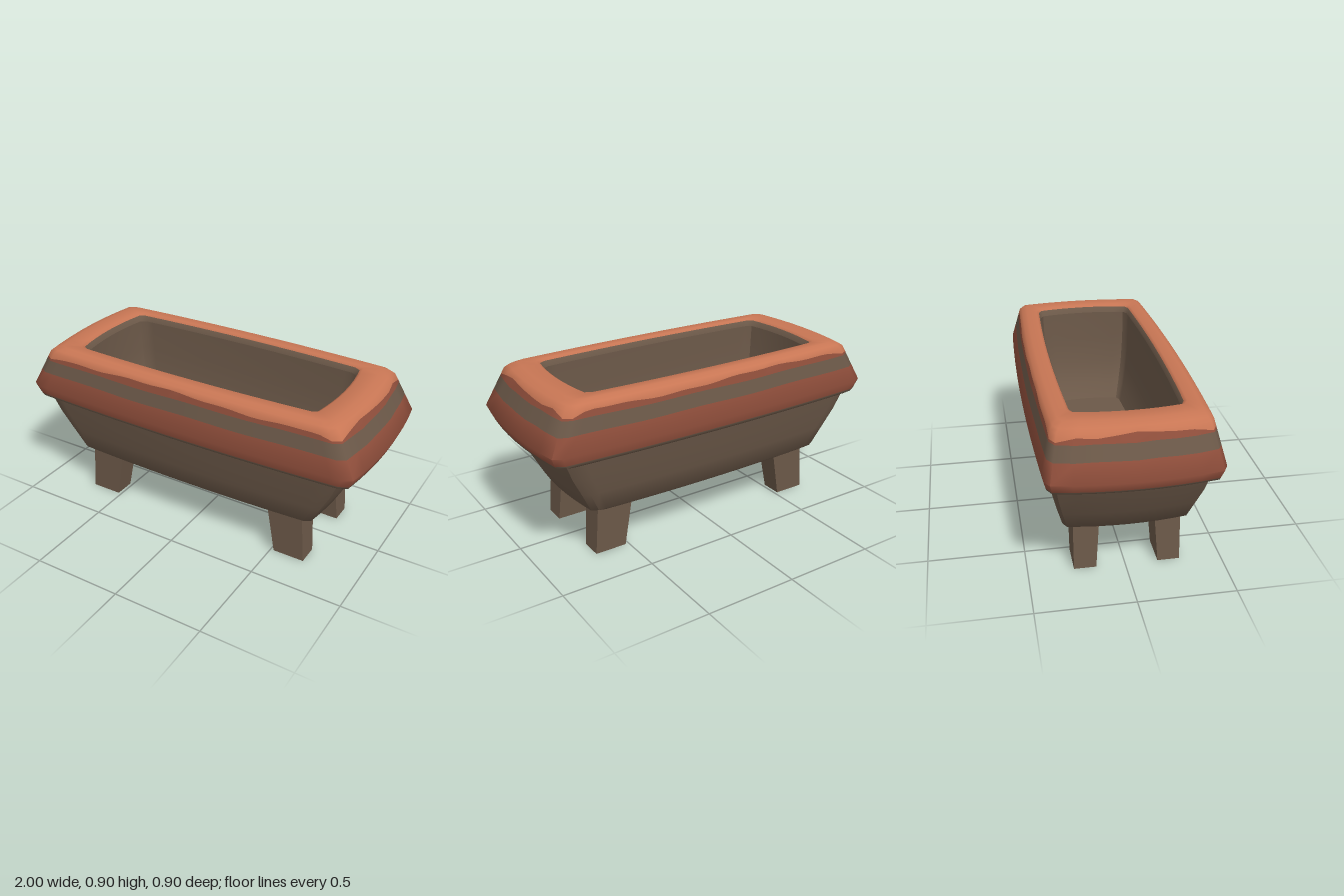
import * as THREE from 'three';
import { toCreasedNormals } from 'three/addons/utils/BufferGeometryUtils.js';

const mat = (name, color) => {
  const m = new THREE.MeshStandardMaterial({ color });
  m.name = name;
  return m;
};

// Perimeter stations: four bulging sides, joined by short bevelled corners.
const stations = [];
[8, 32, 8, 32].forEach((n, side) => {
  for (let i = 0; i <= n; i++) stations.push({ side, s: (2 * i) / n - 1 });
});

// Point on a ring with half length a, half depth b, at height y.
function ringPoint({ side, s }, [a, b, y]) {
  const k = Math.min(1, a);
  const endBulge = 0.035 * k, sideBulge = 0.025 * k;
  const dir = side < 2 ? 1 : -1;
  if (side % 2 === 0) return [dir * (a - endBulge * s * s), y, dir * s * (b - 0.05 * k)];
  return [-dir * s * (a - 0.08 * k), y, dir * (b - sideBulge * s * s)];
}

// Lofts rings upward on the outside, over, and down the inside.
// A ring may be a function of the station; mats[i] colours band i.
function loft(name, rings, mats, crease) {
  const n = stations.length, pos = [], index = [];
  const geo = new THREE.BufferGeometry();
  rings.forEach((r) => stations.forEach((st) => {
    const ring = typeof r === 'function' ? r(st) : r;
    pos.push(...(ring[0] === 0 ? [0, ring[2], 0] : ringPoint(st, ring)));
  }));
  const used = [...new Set(mats)];
  for (let i = 0; i < rings.length - 1; i++) {
    const start = index.length;
    for (let j = 0; j < n; j++) {
      const p = i * n + j, q = i * n + ((j + 1) % n);
      if (rings[i][0] !== 0) index.push(p, p + n, q);
      if (rings[i + 1][0] !== 0) index.push(q, p + n, q + n);
    }
    geo.addGroup(start, index.length - start, used.indexOf(mats[i] ?? mats[0]));
  }
  geo.setAttribute('position', new THREE.Float32BufferAttribute(pos, 3));
  geo.setIndex(index);
  const mesh = new THREE.Mesh(toCreasedNormals(geo, crease), used);
  mesh.name = name;
  return mesh;
}

export function createModel() {
  const group = new THREE.Group();
  group.name = 'trough';
  const clay = mat('grey brown clay', 0x6b5848);
  const red = mat('dark red glaze', 0x8f4e3b);
  const orange = mat('orange glaze', 0xc87654);

  // Basin outside, closed underneath
  group.add(loft('basin', [
    [0, 0, 0.257], [0.69, 0.3, 0.257], [0.755, 0.338, 0.286], [0.815, 0.368, 0.4],
    [0.87, 0.392, 0.5], [0.915, 0.412, 0.605],
  ], [clay], 0.75));

  // Sloping face of the rim, parametrised by height
  const slope = (y) => {
    const t = (y - 0.67) / 0.205;
    return [1 - 0.105 * t, 0.45 - 0.05 * t, y];
  };
  const wobble = (y, amount) => ({ side, s }) =>
    slope(y + amount * Math.sin(s * 9 + side * 2.1));
  // Uneven lower edge of the orange glaze, running down at the corners
  const drip = ({ side, s }) => {
    const wave = 0.862 + 0.008 * Math.sin(s * 4.5 + side) + 0.003 * Math.sin(s * 17 + side);
    const corner = THREE.MathUtils.smoothstep(Math.abs(s), side % 2 ? 0.9 : 0.7, 1);
    return slope(THREE.MathUtils.lerp(wave, 0.84, corner));
  };

  // Rim with its painted bands
  group.add(loft('rim', [
    [0.9, 0.4, 0.597], [0.935, 0.417, 0.598], [0.975, 0.435, 0.612], [0.981, 0.438, 0.624],
    [1, 0.45, 0.67], wobble(0.76, 0.002), wobble(0.83, 0.002), drip,
    [0.895, 0.4, 0.875], [0.875, 0.387, 0.89], [0.83, 0.36, 0.905],
    [0.745, 0.305, 0.905], [0.73, 0.292, 0.895], [0.715, 0.282, 0.865],
  ], [clay, clay, clay, red, red, clay, red, orange, orange, orange, orange, orange, clay], 0.9));

  // Hollow inside with curved walls and a flat floor
  group.add(loft('interior', [
    [0.715, 0.282, 0.865], [0.705, 0.278, 0.7], [0.685, 0.265, 0.55],
    [0.64, 0.24, 0.43], [0.57, 0.21, 0.35], [0, 0, 0.35],
  ], [clay], 0.6));

  // Tapered legs, wider at the top and leaning inward
  const legTop = 0.29;
  for (const sx of [1, -1]) for (const sz of [1, -1]) {
    const geo = new THREE.BoxGeometry(1, 1, 1);
    const p = geo.attributes.position;
    for (let i = 0; i < p.count; i++) {
      const top = p.getY(i) > 0;
      const outerX = p.getX(i) * sx > 0, outerZ = p.getZ(i) * sz > 0;
      const x = outerX ? (top ? 0.67 : 0.692) : (top ? 0.468 : 0.518);
      const z = outerZ ? 0.275 : (top ? 0.14 : 0.16);
      p.setXYZ(i, sx * x, top ? legTop : 0, sz * z + 0.01);
    }
    geo.computeVertexNormals();
    const leg = new THREE.Mesh(geo, clay);
    leg.name = (sz > 0 ? 'front' : 'back') + (sx > 0 ? 'Left' : 'Right') + 'Leg';
    group.add(leg);
  }
  return group;
}
